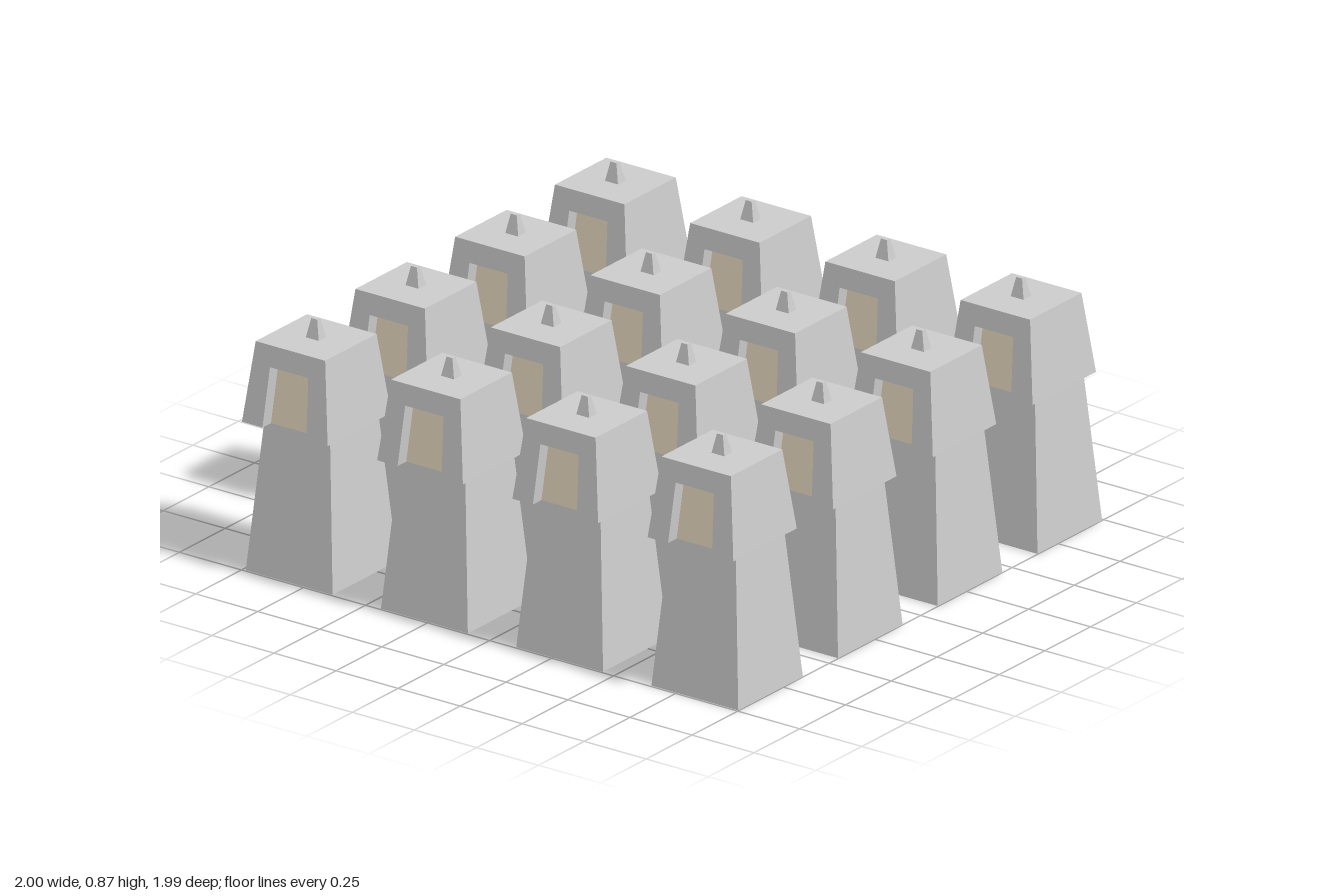
import * as THREE from 'three';

const grey = new THREE.MeshStandardMaterial({ color: 0xcccccc, flatShading: true });
const cream = new THREE.MeshStandardMaterial({ color: 0xe6d8c0, flatShading: true });

const SPACING = 0.545, COUNT = 4;
const Y0 = 0.52, Y1 = 0.8;          // cap bottom and top
const WINDOW_TOP = 0.727, RECESS = 0.05;
const capFront = y => THREE.MathUtils.mapLinear(y, Y0, Y1, 0.18, 0.146);

// Tapered block: bottom and top are [xMin, xMax, zMin, zMax]
function taperedBlock(y0, y1, bottom, top) {
  const g = new THREE.BoxGeometry(1, 1, 1);
  const p = g.attributes.position;
  for (let i = 0; i < p.count; i++) {
    const up = p.getY(i) > 0, r = up ? top : bottom;
    p.setXYZ(i, r[p.getX(i) > 0 ? 1 : 0], up ? y1 : y0, r[p.getZ(i) > 0 ? 3 : 2]);
  }
  g.computeVertexNormals();
  return g;
}

// Front wall of the cap with an open-bottomed window, leaning with the cap
function windowWall() {
  const outline = [
    [-0.1825, Y0], [-0.1, Y0], [-0.088, WINDOW_TOP], [0.066, WINDOW_TOP],
    [0.077, Y0], [0.163, Y0], [0.128, Y1], [-0.152, Y1],
  ].map(([x, y]) => new THREE.Vector2(x, y));
  const g = new THREE.ExtrudeGeometry(new THREE.Shape(outline), { depth: 1, bevelEnabled: false });
  const p = g.attributes.position;
  for (let i = 0; i < p.count; i++) p.setZ(i, capFront(p.getY(i)) - RECESS * (1 - p.getZ(i)));
  g.computeVertexNormals();
  return g;
}

const zPanel = y => capFront(y) - RECESS + 0.003;
const parts = [
  ['body', taperedBlock(0, Y0, [-0.17, 0.18, -0.177, 0.176], [-0.137, 0.127, -0.146, 0.118]), grey],
  ['capCore', taperedBlock(Y0, Y1,
    [-0.1825, 0.163, -0.167, capFront(Y0) - RECESS],
    [-0.152, 0.128, -0.135, capFront(Y1) - RECESS]), grey],
  ['capFrontWall', windowWall(), grey],
  ['windowPanel', taperedBlock(Y0, WINDOW_TOP,
    [-0.1, 0.077, zPanel(Y0) - 0.01, zPanel(Y0)],
    [-0.088, 0.066, zPanel(WINDOW_TOP) - 0.01, zPanel(WINDOW_TOP)]), cream],
  ['finial', taperedBlock(Y1, 0.867, [-0.04, 0.012, -0.018, 0.024], [-0.027, -0.003, -0.005, 0.012]), grey],
];

function tower() {
  const g = new THREE.Group();
  g.name = 'tower';
  for (const [name, geometry, material] of parts) {
    const mesh = new THREE.Mesh(geometry, material);
    mesh.name = name;
    g.add(mesh);
  }
  return g;
}

export function createModel() {
  const model = new THREE.Group();
  model.name = 'towerGrid';
  for (let row = 0; row < COUNT; row++) {
    for (let col = 0; col < COUNT; col++) {
      const t = tower();
      t.position.set((col - 1.5) * SPACING, 0, (row - 1.5) * SPACING);
      model.add(t);
    }
  }
  return model;
}
